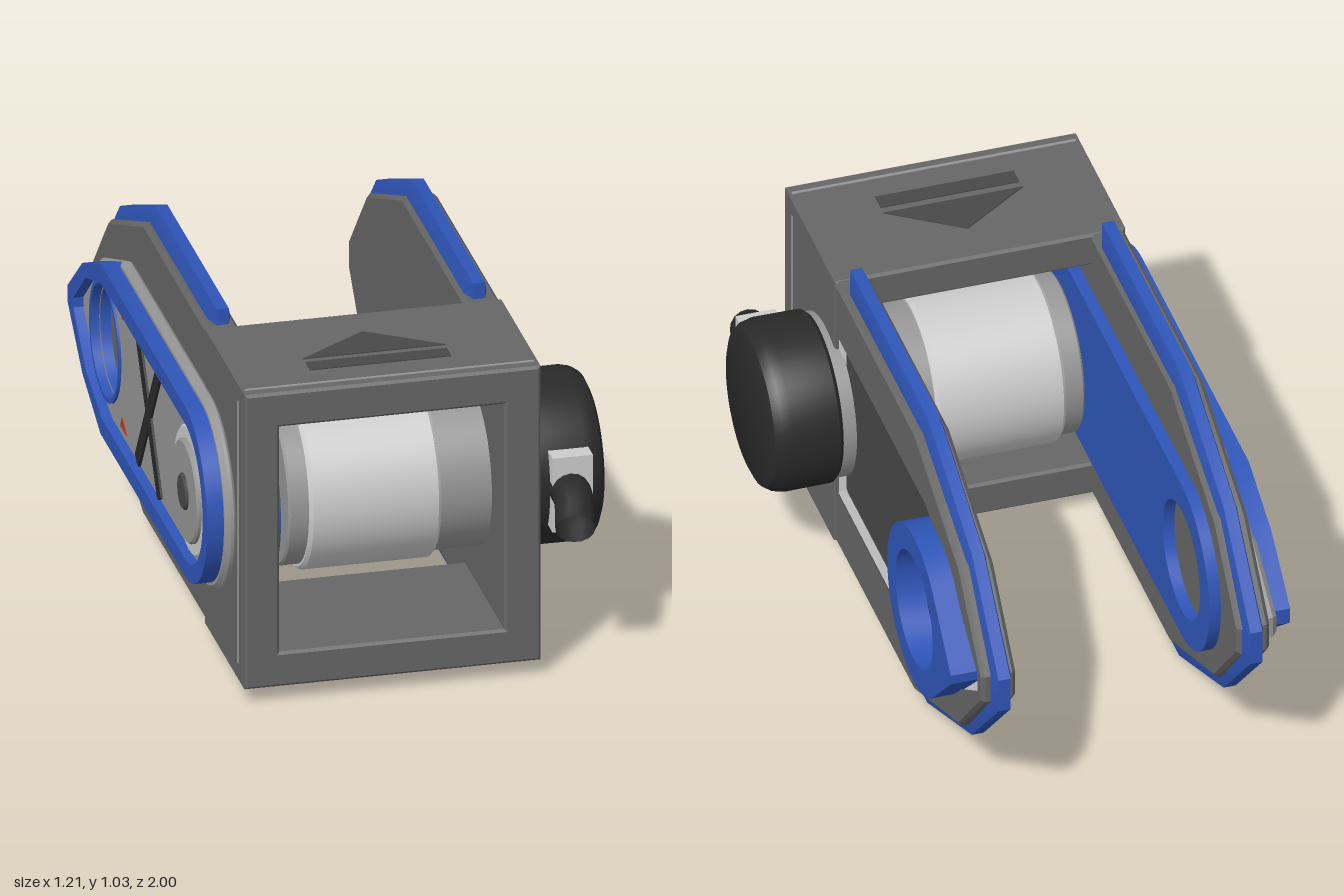
import * as THREE from 'three';
import { toCreasedNormals } from 'three/addons/utils/BufferGeometryUtils.js';

const CY = 0.515;    // height of the main axis
const DRUM_Z = 0.545; // drum axis
const EYE_Z = -0.53;  // rear eyelets

const mat = (color) => new THREE.MeshStandardMaterial({ color, side: THREE.DoubleSide });
const steel = mat(0x666666), dark = mat(0x484848), mid = mat(0x969696), light = mat(0xcccccc);
const blue = mat(0x2f55b8), black = mat(0x2a2a2a), red = mat(0xb03a20);

export function createModel() {
  const model = new THREE.Group();
  const add = (name, geometry, material) => {
    const mesh = new THREE.Mesh(geometry, material);
    mesh.name = name;
    model.add(mesh);
    return mesh;
  };
  const box = (name, [w, h, d], [x, y, z], material) => {
    const mesh = add(name, new THREE.BoxGeometry(w, h, d), material);
    mesh.position.set(x, y, z);
    return mesh;
  };

  // Outlines are lists of [z, y]; the upper half is mirrored about the main axis
  const mirrored = (top) => [...top, ...top.slice().reverse().map(([z, y]) => [z, 2 * CY - y])];
  const arc = (cz, r, from, to, n = 20) => Array.from({ length: n + 1 }, (_, i) => {
    const a = from + (to - from) * i / n;
    return [cz + r * Math.cos(a), CY + r * Math.sin(a)];
  });
  const circle = (cz, r) => arc(cz, r, 0, Math.PI * 2, 48).slice(0, -1);
  const roundFront = (r, rear) => mirrored([...arc(DRUM_Z, r, 0.02, Math.PI / 2, 14), ...rear]);
  const toVec = (pts) => pts.map(([z, y]) => new THREE.Vector2(-z, y));

  // Slab between x0 and x1 with chamfered edges
  const slab = (name, pts, x0, x1, material, { bx = 0, by = bx, holes = [] } = {}) => {
    const shape = new THREE.Shape(toVec(pts));
    shape.holes = holes.map((h) => new THREE.Path(toVec(h)));
    const g = new THREE.ExtrudeGeometry(shape, {
      depth: x1 - x0 - 2 * bx, bevelEnabled: bx > 0, bevelSegments: 1,
      bevelThickness: bx, bevelSize: by, bevelOffset: -by,
    });
    g.rotateY(Math.PI / 2).translate(x0 + bx, 0, 0);
    return add(name, toCreasedNormals(g, 0.5), material);
  };

  // Turned part on the drum axis, profile of [radius, x]
  const turned = (name, profile, material) => {
    const g = new THREE.LatheGeometry(profile.map(([r, x]) => new THREE.Vector2(r, x)), 48);
    g.rotateZ(-Math.PI / 2).translate(0, CY, DRUM_Z);
    return add(name, toCreasedNormals(g, 0.5), material);
  };
  const disc = (name, r, x0, x1, material, b = 0.006) =>
    turned(name, [[0, x0], [r - b, x0], [r, x0 + b], [r, x1 - b], [r - b, x1], [0, x1]], material);

  // Square housing tube at the front
  const rect = (x0, x1, y0, y1) => [[x0, y0], [x1, y0], [x1, y1], [x0, y1]].map((p) => new THREE.Vector2(...p));
  const frame = new THREE.Shape(rect(-0.513, 0.368, 0.048, 0.982));
  frame.holes.push(new THREE.Path(rect(-0.41, 0.26, 0.157, 0.872)));
  const frameGeo = new THREE.ExtrudeGeometry(frame, {
    depth: 0.475, bevelSegments: 1, bevelThickness: 0.008, bevelSize: 0.008, bevelOffset: -0.008,
  });
  add('housing', toCreasedNormals(frameGeo.translate(0, 0, 0.458), 0.3), steel);

  // Edge lines and arrow mark on the housing
  for (const x of [-0.513, 0.368]) box('edgeLine', [0.004, 0.83, 0.012], [x, CY, 0.86], mid);
  for (const y of [0.048, 0.982]) box('edgeLine', [0.86, 0.004, 0.01], [-0.073, y, 0.9], mid);
  box('arrowBar', [0.42, 0.006, 0.055], [-0.077, 0.982, 0.783], dark);
  const arrow = new THREE.Shape([[-0.29, -0.73], [0.135, -0.73], [-0.077, -0.585]].map((p) => new THREE.Vector2(...p)));
  add('arrowHead', new THREE.ExtrudeGeometry(arrow, { depth: 0.006, bevelEnabled: false })
    .rotateX(-Math.PI / 2).translate(0, 0.979, 0), dark);

  // Side plates with blue edge trim
  const plate = mirrored([[0.93, 0.98], [-0.31, 0.98], [-0.74, 0.8], [-0.96, 0.56]]);
  const trim = mirrored([[0.435, 1.03], [-0.31, 1.03], [-0.74, 0.84], [-1, 0.57]]);
  slab('rightPlate', plate, -0.51, -0.41, steel, { bx: 0.012 });
  slab('leftPlate', plate, 0.26, 0.345, steel, { bx: 0.012 });
  for (const x of [-0.455, 0.308]) slab('edgeTrim', trim, x - 0.034, x + 0.034, blue, { bx: 0.016, by: 0.05 });

  // Shallow pocket with sloped sides on the +x plate
  const rim = mirrored([[0.46, 0.81], [-0.42, 0.81], [-0.72, 0.69], [-0.93, 0.55]]);
  const floor = mirrored([[0.4, 0.77], [-0.41, 0.77], [-0.69, 0.655], [-0.9, 0.53]]);
  slab('leftPlateFace', plate, 0.325, 0.365, steel, { bx: 0.01, holes: [rim] });
  const n = rim.length, index = [];
  for (let i = 0; i < n; i++) {
    const j = (i + 1) % n;
    index.push(i, i + n, j, j, i + n, j + n);
  }
  const slope = new THREE.BufferGeometry();
  slope.setAttribute('position', new THREE.Float32BufferAttribute(
    [...rim.map(([z, y]) => [0.357, y, z]), ...floor.map(([z, y]) => [0.346, y, z])].flat(), 3));
  slope.setIndex(index);
  const slopeFlat = slope.toNonIndexed();
  slopeFlat.computeVertexNormals();
  add('pocketSlope', slopeFlat, light);
  box('pocketFloor', [0.006, 0.49, 0.93], [0.345, CY, -0.065], dark);

  // Pointed eyelet ring on the +x plate
  const tangent = Math.PI * 0.755;
  const eyelet = [...arc(EYE_Z, 0.26, -tangent, tangent, 36), [-0.885, 0.53], [-0.885, 0.5]];
  slab('leftEyelet', eyelet, 0.345, 0.435, blue, { holes: [circle(EYE_Z, 0.18)] });

  // Outer cover on the -x plate
  const eye = circle(EYE_Z, 0.18);
  const pad = roundFront(0.295, [[-0.42, 0.81], [-0.72, 0.69], [-0.92, 0.55]]);
  const coverOuter = roundFront(0.27, [[-0.48, 0.785], [-0.7, 0.69], [-0.88, 0.54]]);
  const coverInner = roundFront(0.215, [[-0.46, 0.73], [-0.66, 0.66], [-0.81, 0.53]]);
  slab('coverBase', pad, -0.545, -0.505, mid, { bx: 0.015, holes: [eye] });
  slab('coverRim', coverOuter, -0.595, -0.53, blue, { holes: [coverInner] });
  slab('coverPanel', coverInner, -0.565, -0.53, mid, { holes: [eye] });
  slab('coverEyelet', circle(EYE_Z, 0.183), -0.572, -0.505, blue, { holes: [circle(EYE_Z, 0.168)] });
  for (const s of [-1, 1]) {
    box('crossBar', [0.012, 0.5, 0.05], [-0.566, CY, 0], black).rotation.x = s * 0.58;
    slab('redMark', [[-0.27, CY + s * 0.19], [-0.35, CY + s * 0.19], [-0.33, CY + s * 0.155]], -0.568, -0.56, red);
  }

  // Inner blue plate with eyelet hole
  const inner = mirrored([...arc(DRUM_Z, 0.27, 0.02, Math.PI / 2, 14), ...arc(EYE_Z, 0.27, Math.PI / 2, Math.PI - 0.02, 14)]);
  slab('innerPlate', inner, -0.42, -0.375, blue, { holes: [eye] });

  // Drum, shaft and bearing
  disc('drumCore', 0.242, -0.345, 0.27, mid);
  disc('drumSleeve', 0.26, -0.285, 0.108, light, 0.01);
  disc('shaft', 0.055, -0.606, -0.33, dark);
  disc('bearing', 0.155, -0.597, -0.55, mid);
  disc('bearingSeat', 0.195, -0.582, -0.55, light);

  // Motor cap with rounded edge
  disc('capNeck', 0.245, 0.34, 0.4, mid);
  turned('motorCap', [[0, 0.388], [0.245, 0.388], [0.256, 0.4], [0.257, 0.54], [0.25, 0.57],
    [0.235, 0.592], [0.21, 0.603], [0, 0.605]], black);

  // Cable socket and open elbow
  box('cableSocket', [0.12, 0.235, 0.09], [0.49, CY, 0.785], light);
  const path = new THREE.CatmullRomCurve3([[0.483, 0.525, 0.8], [0.483, 0.515, 0.87], [0.463, 0.468, 0.97]]
    .map((p) => new THREE.Vector3(...p)));
  add('cableElbow', new THREE.TubeGeometry(path, 10, 0.058, 16), black);
  return model;
}
